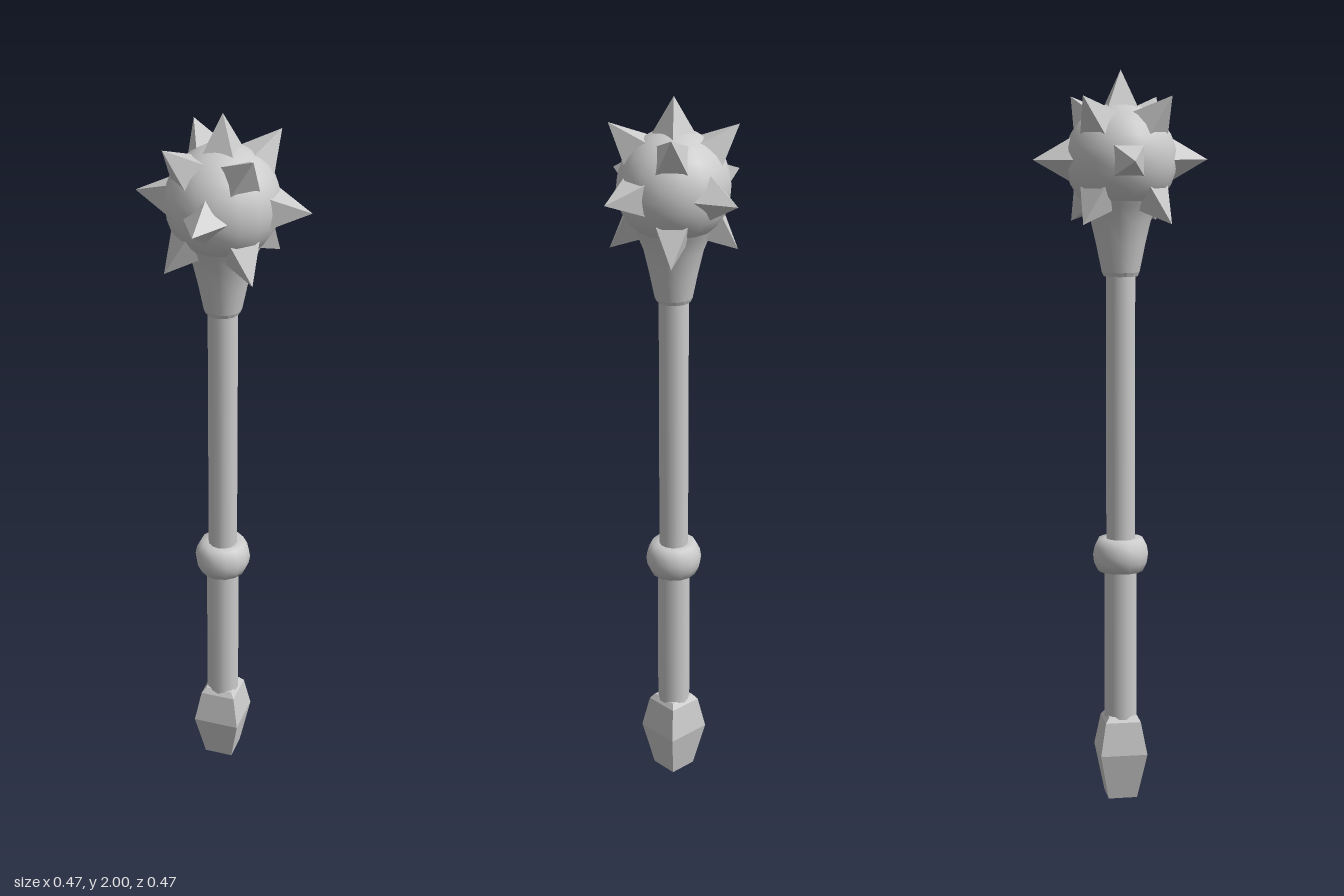
import * as THREE from 'three';

const smooth = new THREE.MeshStandardMaterial({ color: 0xcccccc });
const flat = new THREE.MeshStandardMaterial({ color: 0xcccccc, flatShading: true });

const HEAD_Y = 1.765, HEAD_R = 0.15, TIP_R = 0.236, SPIKE_H = 0.14;

function add(parent, name, geometry, material) {
  const mesh = new THREE.Mesh(geometry, material);
  mesh.name = name;
  parent.add(mesh);
  return mesh;
}

// Turned solid from [radius, height] pairs, listed bottom to top
function turned(points, sides, start = 0) {
  return new THREE.LatheGeometry(points.map(([r, y]) => new THREE.Vector2(r, y)), sides, start);
}

function rod(radius, y0, y1) {
  return new THREE.CylinderGeometry(radius, radius, y1 - y0, 14).translate(0, (y0 + y1) / 2, 0);
}

// Four-sided spike leaving the head centre: pitch is measured from straight up
function addSpike(parent, pitch, yaw, twist) {
  const geometry = new THREE.ConeGeometry(SPIKE_H * 0.575, SPIKE_H, 4);
  geometry.rotateY(twist).translate(0, TIP_R - SPIKE_H / 2, 0);
  const spike = add(parent, 'spike', geometry, flat);
  spike.rotation.set(pitch, yaw, 0, 'YXZ');
}

export function createModel() {
  const model = new THREE.Group();
  model.name = 'spikedMace';

  // Square tapered pommel
  const r2 = Math.SQRT2;
  add(model, 'pommel', turned([
    [0, 0], [0.04 * r2, 0], [0.065 * r2, 0.13], [0.049 * r2, 0.22], [0.038 * r2, 0.235], [0, 0.235],
  ], 4, Math.PI / 4), flat);

  // Handle: thick grip, collar ring and thinner shaft
  add(model, 'grip', rod(0.045, 0.2, 0.66), smooth);
  add(model, 'shaft', rod(0.04, 0.66, 1.5), smooth);
  add(model, 'collar', turned([
    [0.036, 0.648], [0.063, 0.645], [0.074, 0.668], [0.077, 0.69], [0.073, 0.712], [0.061, 0.735], [0.036, 0.735],
  ], 14), smooth);

  // Flared neck carrying the round head
  add(model, 'neckBase', turned([[0.036, 1.455], [0.046, 1.455], [0.051, 1.466]], 16, Math.PI / 16), flat);
  add(model, 'neck', turned([
    [0.051, 1.466], [0.066, 1.54], [0.08, 1.6], [0.098, 1.645], [0.12, 1.69],
  ], 16, Math.PI / 16), smooth);
  add(model, 'head', new THREE.SphereGeometry(HEAD_R, 16, 14)
    .rotateY(Math.PI / 16).translate(0, HEAD_Y, 0), smooth);

  // Spikes: one on top, four around the middle, four above and four below
  const spikes = new THREE.Group();
  spikes.name = 'spikes';
  spikes.position.y = HEAD_Y;
  model.add(spikes);
  const square = Math.PI / 4;
  addSpike(spikes, 0, 0, square);
  for (let i = 0; i < 4; i++) {
    const yaw = i * Math.PI / 2;
    addSpike(spikes, Math.PI / 2, yaw, i % 2 ? square : 0);
    addSpike(spikes, Math.PI / 4, yaw + Math.PI / 4, square);
    addSpike(spikes, 3 * Math.PI / 4, yaw + Math.PI / 4, square);
  }
  return model;
}
